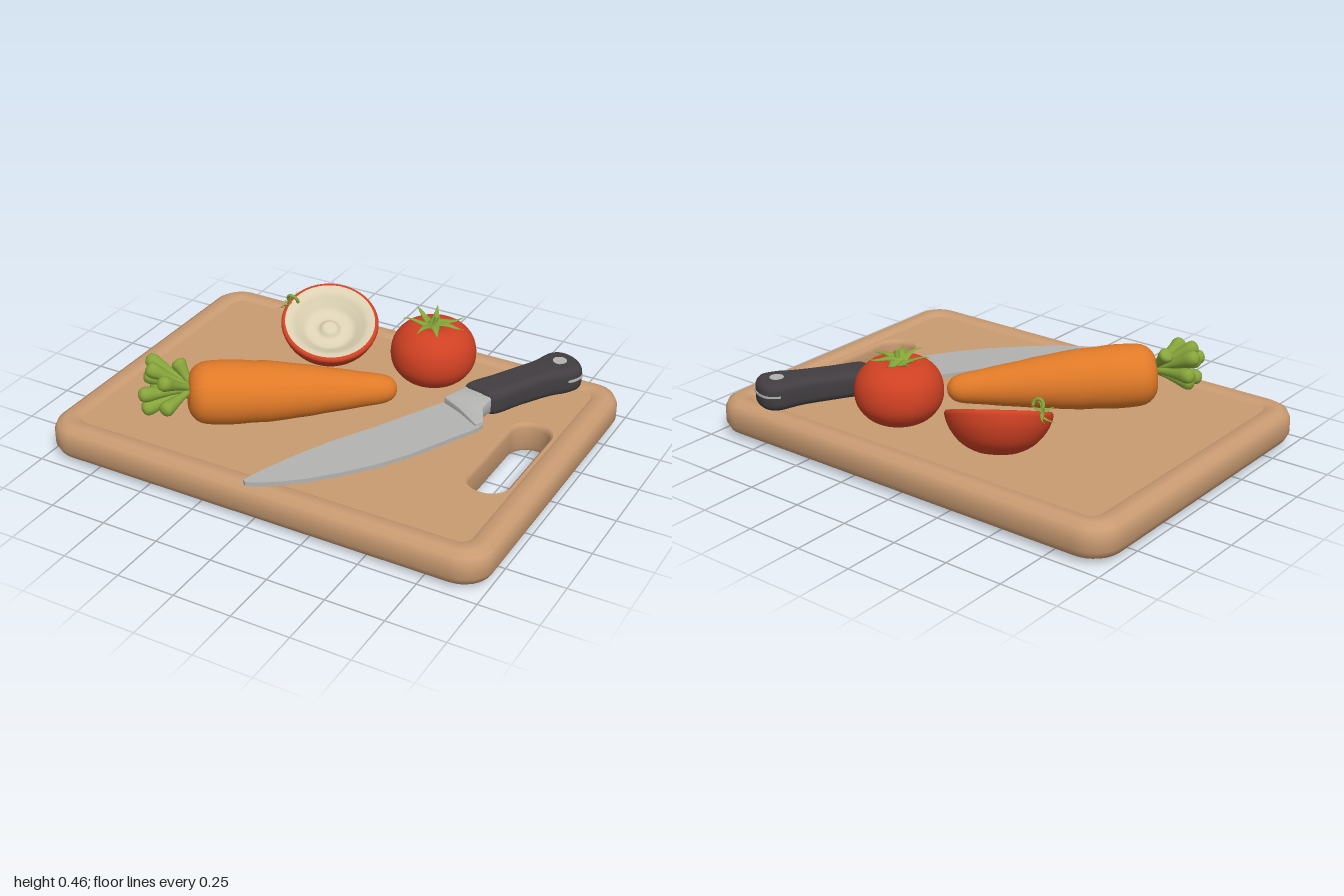
import * as THREE from 'three';
import { toCreasedNormals } from 'three/addons/utils/BufferGeometryUtils.js';

const mat = (name, color, side = THREE.FrontSide) => {
  const m = new THREE.MeshStandardMaterial({ color, side });
  m.name = name;
  return m;
};
const V = (x, y, z) => new THREE.Vector3(x, y, z);
const UP = V(0, 1, 0);
const FLOOR = 0.153;

function add(parent, name, geo, material) {
  const m = new THREE.Mesh(geo, material);
  m.name = name;
  parent.add(m);
  return m;
}

// Rounded rectangle ring, counterclockwise from above, as [x, z] pairs
function ring(hx, hz, r, cx = 0, n = 8) {
  const pts = [];
  [[1, -1], [-1, -1], [-1, 1], [1, 1]].forEach(([sx, sz], c) => {
    for (let i = 0; i <= n; i++) {
      const a = (c + i / n) * Math.PI / 2;
      pts.push([cx + sx * (hx - r) + r * Math.cos(a), sz * (hz - r) - r * Math.sin(a)]);
    }
  });
  return pts;
}

// Skin between stacked rings of { pts, y }
function loft(levels) {
  const pos = [], idx = [], n = levels[0].pts.length;
  levels.forEach(({ pts, y }) => pts.forEach(([x, z]) => pos.push(x, y, z)));
  for (let k = 0; k < levels.length - 1; k++) {
    for (let i = 0; i < n; i++) {
      const j = (i + 1) % n, a = k * n + i, b = k * n + j;
      idx.push(a, b, b + n, a, b + n, a + n);
    }
  }
  const g = new THREE.BufferGeometry();
  g.setAttribute('position', new THREE.Float32BufferAttribute(pos, 3));
  g.setIndex(idx);
  g.computeVertexNormals();
  return toCreasedNormals(g, 0.9);
}

// Flat plate with a hole, facing up (s = -1) or down (s = 1)
function plate(outer, inner, y, s) {
  const to2 = (p) => p.map(([x, z]) => new THREE.Vector2(x, s * z));
  const shape = new THREE.Shape(to2(outer));
  shape.holes.push(new THREE.Path(to2(inner)));
  return new THREE.ShapeGeometry(shape).rotateX(s * Math.PI / 2).translate(0, y, 0);
}

// Smooth lathe through a few [radius, y] points, listed bottom to top
function lathe(pts, seg = 40, div = 32) {
  const c = new THREE.SplineCurve(pts.map(([x, y]) => new THREE.Vector2(x, y)));
  return new THREE.LatheGeometry(c.getPoints(div).map((p) => p.set(Math.max(0, p.x), p.y)), seg);
}

// Horizontal slab from an [x, z] outline
function slab(pts, y, depth, bevel = 0, round = false) {
  let p = pts.map(([x, z]) => V(x, -z, 0));
  if (round) p = new THREE.CatmullRomCurve3(p, true, 'centripetal').getPoints(60).slice(0, -1);
  const shape = new THREE.Shape(p.map((q) => new THREE.Vector2(q.x, q.y)));
  const g = new THREE.ExtrudeGeometry(shape, {
    depth: depth - 2 * bevel, bevelEnabled: bevel > 0, bevelThickness: bevel,
    bevelSize: bevel, bevelOffset: -bevel, bevelSegments: 5,
  });
  return g.rotateX(-Math.PI / 2).translate(0, y + bevel, 0);
}

function warp(g, fn) {
  const p = g.attributes.position, v = V(0, 0, 0);
  for (let i = 0; i < p.count; i++) {
    v.fromBufferAttribute(p, i);
    fn(v);
    p.setXYZ(i, v.x, v.y, v.z);
  }
  g.computeVertexNormals();
  return g;
}

function point(mesh, from, dir) {
  mesh.position.copy(from);
  mesh.quaternion.setFromUnitVectors(UP, dir.clone().normalize());
}

// Thin curling sepals set in a star
function calyx(parent, material, count, len, width, lift) {
  const g = new THREE.Group();
  g.name = 'calyx';
  for (let i = 0; i < count; i++) {
    const geo = new THREE.ConeGeometry(width, len, 8, 6).rotateZ(-Math.PI / 2)
      .translate(len / 2, 0, 0).scale(1, 0.25, 1);
    warp(geo, (v) => { const t = v.x / len; v.y += lift * (t * 0.6 + Math.sin(t * 5 + i) * 0.25); });
    add(g, 'sepal', geo, material).rotation.y = (i + 0.15 * Math.sin(i * 4)) / count * Math.PI * 2;
  }
  parent.add(g);
  return g;
}

export function createModel() {
  const model = new THREE.Group();
  const wood = mat('wood', 0xc99b72), orange = mat('carrot orange', 0xe07a28);
  const red = mat('tomato red', 0xcf4123), green = mat('leaf green', 0x86a53a);
  const cream = mat('cream flesh', 0xdbd0b2, THREE.DoubleSide);
  const steel = mat('steel', 0xb2b2b0), black = mat('handle black', 0x413d40);

  // Board: rounded edge, raised rim, sunken floor and a grip slot
  const board = new THREE.Group();
  board.name = 'cuttingBoard';
  model.add(board);
  const edge = ([inset, y]) => ({ pts: ring(1 - inset, 0.73 - inset, 0.13 - inset * 0.8), y });
  const rim = [[0.045, 0.018], [0.015, 0.03], [0, 0.06], [0, 0.12], [0.012, 0.148],
    [0.04, 0.165], [0.085, 0.165], [0.105, FLOOR]].map(edge);
  const slot = [[0.012, FLOOR], [0.003, 0.145], [0, 0.13], [0, 0.04], [0.01, 0.018]]
    .map(([d, y]) => ({ pts: ring(0.083 + d, 0.275 + d, 0.08 + d, 0.785), y }));
  add(board, 'boardEdge', loft(rim), wood);
  add(board, 'gripSlot', loft(slot), wood);
  add(board, 'boardTop', plate(rim[7].pts, slot[0].pts, FLOOR, -1), wood);
  add(board, 'boardBottom', plate(rim[0].pts, slot[4].pts, 0.018, 1), wood);
  for (const x of [-0.85, 0.85]) for (const z of [-0.61, 0.61]) {
    add(board, 'foot', new THREE.CylinderGeometry(0.046, 0.038, 0.022, 20), steel).position.set(x, 0.011, z);
  }

  // Carrot lying on its side
  const crown = V(-0.485, 0.283, 0.39);
  const root = lathe([[0, 0], [0.07, -0.005], [0.118, 0.035], [0.134, 0.12], [0.131, 0.25], [0.114, 0.45],
    [0.088, 0.62], [0.07, 0.76], [0.053, 0.835], [0.025, 0.865], [0, 0.87]]);
  warp(root, (v) => { const k = 1 + 0.012 * Math.sin(v.y * 23) + 0.01 * Math.sin(v.y * 41); v.x *= k; v.z *= k; });
  point(add(model, 'carrot', root, orange), crown, V(0.777, -0.075, -0.63));

  // Carrot tops: a fan of club-shaped stalks
  const stalk = lathe([[0.014, 0], [0.016, 0.35], [0.025, 0.65], [0.032, 0.85], [0.024, 0.96], [0, 1]], 12, 16);
  [[-0.22, 0.03, -0.03], [-0.21, 0.10, 0.02], [-0.19, -0.03, 0.03], [-0.18, 0.06, 0.09],
    [-0.15, 0.11, 0.11], [-0.14, -0.06, 0.17], [-0.13, 0.03, 0.20], [-0.05, 0.09, 0.16],
    [-0.03, -0.03, 0.18], [-0.09, 0.10, -0.02]].forEach(([x, y, z]) => {
    const d = V(x, y, z);
    const m = add(model, 'carrotStalk', stalk, green);
    point(m, crown.clone().add(V(0.01, 0.02, -0.01)), d);
    m.scale.set(1, d.length(), 1);
  });

  // Whole tomato
  const tomato = new THREE.Group();
  tomato.name = 'tomato';
  tomato.position.set(0.235, 0, -0.405);
  model.add(tomato);
  add(tomato, 'tomatoBody', lathe([[0, FLOOR], [0.07, 0.157], [0.13, 0.182], [0.173, 0.235], [0.183, 0.295],
    [0.168, 0.355], [0.125, 0.402], [0.075, 0.418], [0.03, 0.41], [0, 0.402]]), red);
  calyx(tomato, green, 7, 0.14, 0.03, 0.035).position.y = 0.417;
  const stem = add(tomato, 'tomatoStem', new THREE.CylinderGeometry(0.009, 0.013, 0.05, 8), green);
  stem.position.set(0.005, 0.435, 0);
  stem.rotation.z = -0.2;

  // Halved tomato, cut face tipped forward
  const half = new THREE.Group();
  half.name = 'halfTomato';
  point(half, V(-0.26, 0.312, -0.38), V(0.24, 0.906, 0.35));
  model.add(half);
  add(half, 'halfSkin', lathe([[0, -0.165], [0.07, -0.158], [0.14, -0.125], [0.19, -0.07],
    [0.213, -0.015], [0.21, 0.005], [0.198, 0.008]]), red);
  add(half, 'cutFlesh', lathe([[0, -0.035], [0.03, -0.038], [0.055, -0.058], [0.1, -0.056],
    [0.135, -0.03], [0.165, -0.006], [0.2, 0.007]]), cream);
  const tuft = calyx(half, green, 5, 0.07, 0.012, 0.03);
  tuft.position.set(-0.205, 0.0, 0.0);
  tuft.rotation.z = 1.1;
  const halfStem = add(half, 'halfStem', new THREE.TorusGeometry(0.025, 0.007, 8, 16, 4), green);
  halfStem.position.set(-0.19, 0.03, 0);

  // Knife lying flat: blade, bolster, handle, tang and rivet
  const knife = new THREE.Group();
  knife.name = 'knife';
  model.add(knife);
  const blade = slab([[-0.035, 0.7], [0, 0.6], [0.06, 0.46], [0.13, 0.32], [0.25, 0.12], [0.41, -0.17], [0.47, -0.22],
    [0.57, -0.17], [0.62, -0.09], [0.615, -0.05], [0.56, 0.05], [0.46, 0.24], [0.38, 0.36], [0.28, 0.48],
    [0.18, 0.58], [0.1, 0.645], [0.03, 0.69], [-0.02, 0.712]], 0.164, 0.018);
  warp(blade, (v) => { v.y += 0.034 * (0.7 - v.z); });
  add(knife, 'blade', toCreasedNormals(blade, 0.5), steel);
  const bolster = slab([[0.46, -0.27], [0.595, -0.24], [0.585, -0.16], [0.62, -0.09], [0.6, -0.06],
    [0.5, -0.12], [0.41, -0.16]], 0.18, 0.075, 0.01);
  warp(bolster, (v) => {
    const s = THREE.MathUtils.clamp((-v.z + 0.02) / 0.24, 0.2, 1);
    v.y = 0.2 + (v.y - 0.2) * s;
  });
  add(knife, 'bolster', toCreasedNormals(bolster, 0.6), steel);
  const handle = slab([[0.455, -0.26], [0.53, -0.4], [0.62, -0.56], [0.66, -0.67], [0.71, -0.7], [0.79, -0.675],
    [0.835, -0.61], [0.805, -0.54], [0.76, -0.49], [0.68, -0.36], [0.6, -0.225], [0.53, -0.235]],
  0.162, 0.12, 0.035, true);
  warp(handle, (v) => { if (v.y > 0.22) v.y += 0.03 * Math.min(0, -v.z - 0.5); });
  add(knife, 'handle', toCreasedNormals(handle, 0.7), black);
  add(knife, 'tang', slab([[0.655, -0.66], [0.71, -0.703], [0.792, -0.678], [0.839, -0.61], [0.807, -0.54],
    [0.72, -0.58]], 0.226, 0.009, 0, true), steel);
  add(knife, 'rivet', new THREE.CylinderGeometry(0.03, 0.03, 0.122, 20), steel).position.set(0.735, 0.223, -0.605);

  return model;
}
